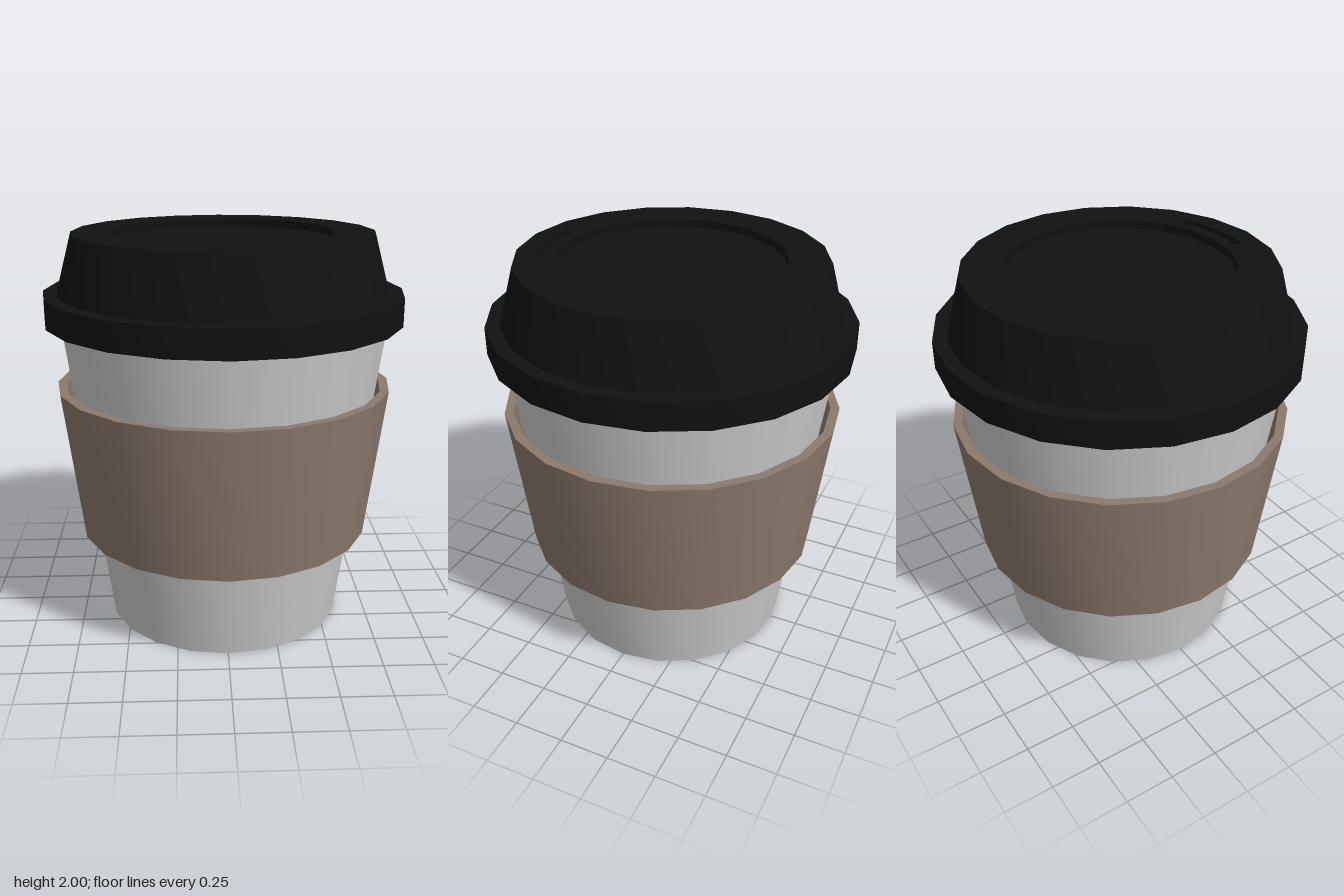
import * as THREE from 'three';
import { toCreasedNormals } from 'three/addons/utils/BufferGeometryUtils.js';

const SIDES = 20;
const grey = new THREE.MeshStandardMaterial({ color: 0xcccccc });
const brown = new THREE.MeshStandardMaterial({ color: 0x8c7a6d });
const black = new THREE.MeshStandardMaterial({ color: 0x111111 });

function part(name, geometry, material) {
  const mesh = new THREE.Mesh(toCreasedNormals(geometry, 0.6), material);
  mesh.name = name;
  return mesh;
}

// Turned part from [radius, height] pairs
function turned(name, profile, material) {
  const points = profile.map(([r, y]) => new THREE.Vector2(r, y));
  return part(name, new THREE.LatheGeometry(points, SIDES), material);
}

// Points along an arc, angles in degrees
function arc(radius, from, to, steps) {
  return Array.from({ length: steps + 1 }, (_, i) => {
    const a = THREE.MathUtils.degToRad(from + ((to - from) * i) / steps);
    return new THREE.Vector2(radius * Math.cos(a), radius * Math.sin(a));
  });
}

const ring = (radius) => arc(radius, 0, 360 - 360 / SIDES, SIDES - 1);

function createLid() {
  const lid = new THREE.Group();
  lid.name = 'lid';

  // Brim and sloping wall
  lid.add(turned('lidWall', [
    [0.8, 1.57], [0.9, 1.57], [0.9, 1.71], [0.83, 1.71], [0.75, 2],
  ], black));

  // Raised top rim around the round recess, with a curved drinking slot
  const rim = new THREE.Shape(ring(0.75));
  rim.holes.push(new THREE.Path(ring(0.55)));
  rim.holes.push(new THREE.Path([...arc(0.645, -99, -63, 6), ...arc(0.605, -63, -99, 6)]));
  const rimGeometry = new THREE.ExtrudeGeometry(rim, { depth: 0.04, bevelEnabled: false });
  rimGeometry.rotateX(-Math.PI / 2).translate(0, 1.96, 0);
  lid.add(part('lidRim', rimGeometry, black));

  // Floor below the recess and the slot
  lid.add(turned('lidFloor', [[0.75, 1.96], [0, 1.96]], black));
  return lid;
}

export function createModel() {
  const model = new THREE.Group();
  model.name = 'coffeeCup';

  model.add(turned('cupBody', [[0, 0], [0.61, 0], [0.828, 1.6], [0, 1.6]], grey));

  // Hollow sleeve, standing slightly off the cup
  model.add(turned('sleeve', [
    [0.705, 0.47], [0.75, 0.47], [0.848, 1.24], [0.803, 1.24], [0.705, 0.47],
  ], brown));

  model.add(createLid());
  return model;
}
